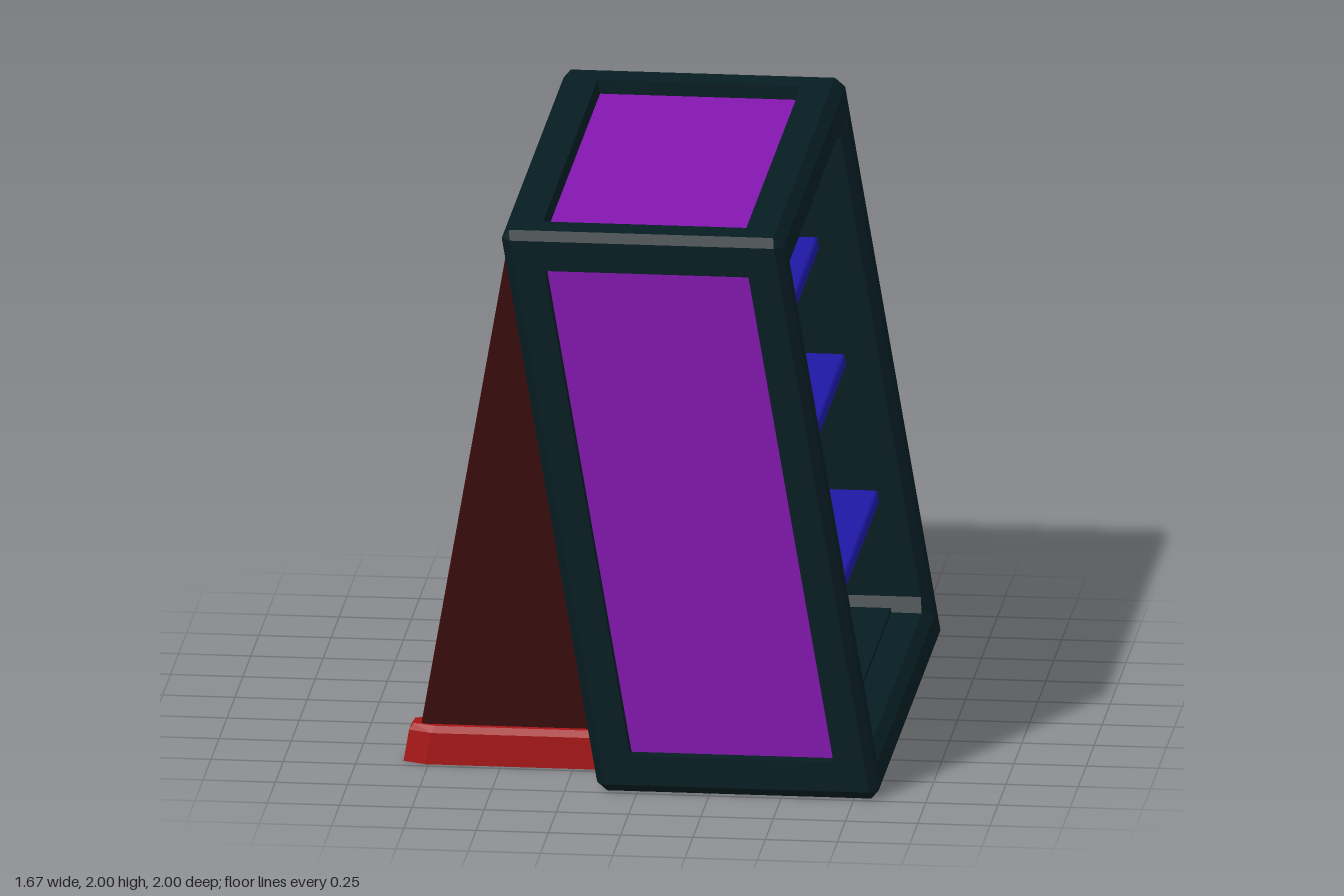
import * as THREE from 'three';

const paint = (color) => new THREE.MeshStandardMaterial({ color, flatShading: true });
const BORDER = 0.135, BEVEL = 0.03, LEAN = 0.17;
const X0 = -0.135, X1 = 0.839; // cabinet extent in x at the ground, before leaning
const END = 0.858;             // inner face of the end frames in z

const points = (list) => list.map((p) => new THREE.Vector2(...p));
const rectangle = (w, h) => points([[-w / 2, -h / 2], [w / 2, -h / 2], [w / 2, h / 2], [-w / 2, h / 2]]);

// Extrusion centred on z whose bevels stay inside the drawn outline
function bevelled(shape, depth, bevel) {
  const g = new THREE.ExtrudeGeometry(shape, {
    depth: depth - 2 * bevel, bevelEnabled: bevel > 0, bevelThickness: bevel,
    bevelSize: bevel, bevelOffset: -bevel, bevelSegments: 1 });
  return g.translate(0, 0, -(depth - 2 * bevel) / 2);
}

// Prism along z from an outline in x and y
const prism = (list, length) => bevelled(new THREE.Shape(points(list)), length, 0);

// Box given by its limits
function block(x0, x1, y0, y1, z0, z1) {
  return new THREE.BoxGeometry(x1 - x0, y1 - y0, z1 - z0)
    .translate((x0 + x1) / 2, (y0 + y1) / 2, (z0 + z1) / 2);
}

// End frame facing s: outer edges and the inner edge at the open side are chamfered
function endFrame(s) {
  const a = (X1 - X0) / 2, b = 1, c = BEVEL;
  const shape = new THREE.Shape(points([[c - a, -b], [a - c, -b], [a, c - b], [a, b - c],
    [a - c, b], [c - a, b], [-a, b - c], [-a, c - b]]));
  shape.holes.push(new THREE.Path(rectangle(2 * (a - BORDER), 2 * (b - BORDER))));
  const g = new THREE.ExtrudeGeometry(shape, { depth: 3, steps: 3, bevelEnabled: false });
  const layers = [0, BEVEL, 1 - END - BEVEL, 1 - END], p = g.attributes.position;
  for (let i = 0; i < p.count; i++) {
    const layer = Math.round(p.getZ(i));
    let x = p.getX(i), y = p.getY(i);
    if (layer === 3) {
      x = THREE.MathUtils.clamp(x, c - a, a - c);
      y = THREE.MathUtils.clamp(y, c - b, b - c);
    }
    if (layer === 0) x = Math.min(x, a - c);
    p.setXYZ(i, x, y, layers[layer]);
  }
  if (s < 0) { // mirror in z by swapping two corners of every triangle
    for (let i = 0; i < p.count; i += 3) {
      const q = [0, 2, 1].map((k) => new THREE.Vector3().fromBufferAttribute(p, i + k));
      q.forEach((v, k) => p.setXYZ(i + k, v.x, v.y, -v.z));
    }
  }
  g.computeVertexNormals();
  return g.translate((X0 + X1) / 2, 1, s * END);
}

export function createModel() {
  const model = new THREE.Group();
  model.name = 'leaningShelf';
  const dark = paint(0x071d23), purple = paint(0x8416b0), blue = paint(0x1e18a4);
  const red = paint(0xa81616), brown = paint(0x380a0a);

  const add = (parent, name, geometry, material) => {
    const mesh = new THREE.Mesh(geometry, material);
    mesh.name = name;
    parent.add(mesh);
  };

  // Everything in the cabinet leans back towards -x
  const cabinet = new THREE.Group();
  cabinet.name = 'cabinet';
  model.add(cabinet);
  const lean = new THREE.Matrix4().set(1, -LEAN, 0, 0, 0, 1, 0, 0, 0, 0, 1, 0, 0, 0, 0, 1);
  const leaning = (name, g, material) => add(cabinet, name, g.applyMatrix4(lean), material);

  const inX0 = X0 + BORDER, inX1 = X1 - BORDER, low = BORDER, high = 2 - BORDER, c = BEVEL;

  for (const s of [-1, 1]) {
    const end = s > 0 ? 'front' : 'back';
    const slab = (x0, x1, y0, y1, za, zb) =>
      block(x0, x1, y0, y1, Math.min(s * za, s * zb), Math.max(s * za, s * zb));
    // End frame with its recessed panel and the inner wall
    leaning(end + 'Frame', endFrame(s), dark);
    leaning(end + 'Panel', slab(inX0, inX1, low, high, 0.91, 0.95), purple);
    leaning(end + 'InnerWall', slab(inX0, inX1, low, high, END, 0.905), dark);
    // Coloured strip inside the hollow base
    leaning(end + 'BaseStrip', slab(inX0, inX1, 0.04, 0.12, 0.855, 0.88), purple);

    // Long rails: outer corner chamfered, open side also chamfered inwards
    const yOut = 1 + s, yIn = 1 + s * (1 - BORDER), yCut = yOut - s * c;
    const rail = (name, list, length) => leaning(name, prism(list, length), dark);
    rail('backRail', [[X0, yCut], [X0 + c, yOut], [inX0, yOut], [inX0, yIn], [X0, yIn]], 2 * END);
    rail('openSideRail', [[inX1, yOut], [X1 - c, yOut], [X1, yCut], [X1, yIn + s * c],
      [X1 - c, yIn], [inX1, yIn]], 2 * (END + c));

    // Sloped fillets along the inner corners of the compartment
    for (const t of [-1, 1]) {
      const fillet = prism([[0, 0], [-t * 0.045, 0], [0, -s * 0.045]], X1 - c - inX0);
      fillet.rotateY(-Math.PI / 2).translate((X1 - c + inX0) / 2, yIn, t * END);
      leaning('cornerFillet', fillet, dark);
    }
  }

  // Top panel, ceiling, floor and back
  leaning('topPanel', block(inX0, inX1, 1.91, 1.95, -END, END), purple);
  leaning('ceiling', block(inX0, inX1, high - 0.012, 1.9, -END, END), dark);
  leaning('floor', block(inX0, inX1, 0.11, low + 0.012, -END, END), dark);
  leaning('backWall', block(X0, -0.04, low, high, -END, END), dark);
  leaning('backLining', block(-0.05, -0.01, low, high, -END, END), purple);
  const rim = new THREE.Shape(rectangle(2 * END, high - low));
  rim.holes.push(new THREE.Path(rectangle(2 * END - 0.09, high - low - 0.09)));
  leaning('backLiningRim', bevelled(rim, 0.08, 0.03).rotateY(Math.PI / 2).translate(-0.01, 1, 0), purple);

  // Shelves, shallower towards the top
  for (const [y, front] of [[0.53, 0.722], [1.016, 0.69], [1.432, 0.667]]) {
    const h = 0.027, k = 0.015;
    leaning('shelf', prism([[-0.02, y - h], [front - k, y - h], [front, y - h + k],
      [front, y + h - 0.006], [front - 0.006, y + h], [-0.02, y + h]], 2 * END), blue);
  }

  // Rear support legs, each a triangular plate standing in a slotted foot
  const legShape = new THREE.Shape(points([[-0.78, 0.01], [-0.135, 0.01], [-0.463, 1.965], [-0.78, 0.13]]));
  const footShape = new THREE.Shape(points([[-0.84, -0.04], [-0.76, -0.073], [-0.143, -0.073],
    [-0.143, 0.073], [-0.76, 0.073], [-0.84, 0.04]]));
  footShape.holes.push(new THREE.Path(points([[-0.79, -0.035], [-0.18, -0.035], [-0.18, 0.035], [-0.79, 0.035]])));

  for (const s of [-1, 1]) {
    const support = new THREE.Group();
    support.name = s > 0 ? 'frontSupport' : 'backSupport';
    support.position.z = s * 0.655;
    add(support, 'leg', bevelled(legShape, 0.076, 0.012), brown);

    const foot = new THREE.ExtrudeGeometry(footShape, { depth: 0.135, steps: 6, bevelEnabled: false })
      .rotateX(-Math.PI / 2);
    const p = foot.attributes.position;
    for (let i = 0; i < p.count; i++) { // slope both ends and chamfer the top edge
      const x = p.getX(i), y = p.getY(i), top = y > 0.12;
      p.setX(i, x < -0.7 ? x + y * 0.17 + (top ? 0.01 : 0) : x - y * LEAN);
      if (top && Math.abs(p.getZ(i)) > 0.037) p.setZ(i, p.getZ(i) * 0.82);
    }
    foot.computeVertexNormals();
    add(support, 'foot', foot, red);
    model.add(support);
  }
  return model;
}
